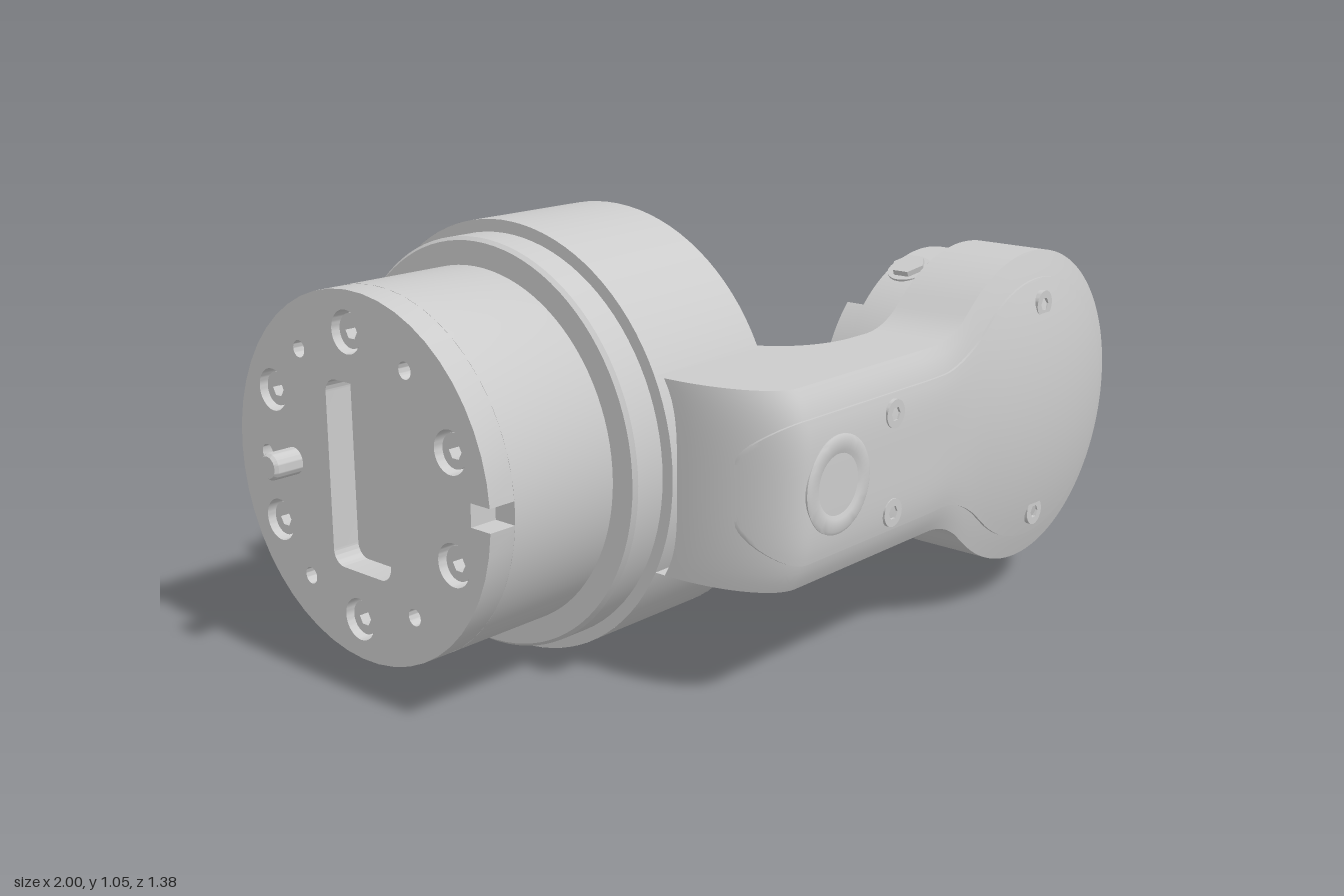
import * as THREE from 'three';
import { toCreasedNormals } from 'three/addons/utils/BufferGeometryUtils.js';
import { ParametricGeometry } from 'three/addons/geometries/ParametricGeometry.js';

const CY = 0.527, CZ = -0.16;   // main barrel axis (along x)
const HX = 0.6;                 // head disc centre (axis along z)

export function createModel() {
  const root = new THREE.Group();
  const mat = new THREE.MeshStandardMaterial({ color: 0xcccccc, side: THREE.DoubleSide });
  const add = (name, geo, x = 0, y = 0, z = 0, parent = root) => {
    const m = new THREE.Mesh(toCreasedNormals(geo, 0.6), mat);
    m.name = name;
    m.position.set(x, y, z);
    parent.add(m);
    return m;
  };
  const lathe = (pts, seg = 96) => new THREE.LatheGeometry(pts.map(p => new THREE.Vector2(p[0], p[1])), seg);
  // profiles are [radius, position along the axis]
  const latheX = pts => lathe(pts).rotateZ(-Math.PI / 2);
  const latheZ = (pts, seg) => lathe(pts, seg).rotateX(Math.PI / 2);
  const extrude = (shape, depth) =>
    new THREE.ExtrudeGeometry(shape, { depth, bevelEnabled: false, curveSegments: 24 });
  const circle = (x, y, r) => new THREE.Path().absarc(x, y, r, 0, Math.PI * 2, false);
  const hexPath = r => new THREE.Path([0, 1, 2, 3, 4, 5].map(i =>
    new THREE.Vector2(r * Math.cos(i * Math.PI / 3), r * Math.sin(i * Math.PI / 3))));
  // socket screw head facing +z
  const screwGeo = (r, depth) => {
    const s = new THREE.Shape().absarc(0, 0, r, 0, Math.PI * 2);
    s.holes.push(hexPath(r * 0.5));
    return extrude(s, depth);
  };

  // ---- barrel housing, outer wall with a rounded slot at the rear ----
  const R = 0.525, X0 = -0.465, X1 = -0.105, SX = -0.29, SW = 0.08, SA = 0.36;
  const sheet = (name, f, nu, nv) => add(name, new ParametricGeometry((u, v, t) => {
    const [x, a, r] = f(u, v);
    t.set(x, CY + r * Math.sin(a), CZ - r * Math.cos(a));
  }, nu, nv));
  const slotAngle = v => SA * Math.sin((v - 0.5) * Math.PI);
  const slotHalf = a => {
    const over = Math.max(0, Math.abs(a) * R - (SA * R - SW));
    return Math.sqrt(Math.max(0, SW * SW - over * over));
  };
  const mix = (a, b, t) => a + (b - a) * t;
  sheet('housingWall', (u, v) => [mix(X0, X1, u), mix(SA, Math.PI * 2 - SA, v), R], 1, 84);
  for (const s of [-1, 1]) {
    const edge = a => SX + s * slotHalf(a);
    sheet('housingWallBesideSlot', (u, v) => {
      const a = slotAngle(v);
      return [mix(s < 0 ? X0 : X1, edge(a), u), a, R];
    }, 1, 32);
    sheet('slotWall', (u, v) => [edge(slotAngle(v)), slotAngle(v), mix(R, 0.45, u)], 1, 32);
    // small plugs above and below the slot
    for (const a of [0.44, 0.58]) {
      const plug = add('housingPlug', new THREE.TorusGeometry(0.016, 0.004, 8, 20),
        SX, CY + s * R * Math.sin(a), CZ - R * Math.cos(a));
      plug.rotation.x = s * a;
    }
  }
  sheet('slotFloor', (u, v) => {
    const a = slotAngle(v);
    return [SX + (u * 2 - 1) * slotHalf(a), a, 0.45];
  }, 2, 32);
  add('housingDish', latheX([[R, X1], [0.41, X1], [0.3, -0.145], [0.2, -0.17], [0.11, -0.185], [0, -0.188]]), 0, CY, CZ);
  add('housingBack', latheX([[0.42, X0], [R, X0]]), 0, CY, CZ);
  add('collar', latheX([[0.42, -0.555], [0.487, -0.555], [0.495, -0.545], [0.495, X0]]), 0, CY, CZ);
  add('motorBody', latheX([[0, -0.855], [0.43, -0.855], [0.43, -0.56], [0.425, -0.55]]), 0, CY, CZ);

  // ---- motor end plate with pocket, screw holes and edge notch ----
  const plate = new THREE.Shape();
  const na = Math.asin(0.027 / 0.43);
  plate.absarc(0, 0, 0.43, na, Math.PI * 2 - na);
  plate.lineTo(0.37, -0.027).lineTo(0.37, 0.027);
  const pw = 0.1, ph = 0.22, pr = 0.035;
  const pocket = new THREE.Path();
  [[1, 1, 0], [-1, 1, 1], [-1, -1, 2], [1, -1, 3]].forEach(([sx, sy, q]) =>
    pocket.absarc(sx * (pw - pr), sy * (ph - pr), pr, q * Math.PI / 2, (q + 1) * Math.PI / 2));
  plate.holes.push(pocket);
  const polar = (deg, r) => [r * Math.cos(deg * Math.PI / 180), r * Math.sin(deg * Math.PI / 180)];
  const bolts = [22, -22, 93, -93, 152, -152].map(d => polar(d, 0.335));
  const pinHoles = [58, -58, 125, -125, 180].map(d => polar(d, 0.33));
  bolts.forEach(([z, y]) => plate.holes.push(circle(z, y, 0.05)));
  pinHoles.forEach(([z, y]) => plate.holes.push(circle(z, y, 0.02)));
  add('motorEndPlate', extrude(plate, 0.07).rotateY(-Math.PI / 2), -0.855, CY, CZ);
  bolts.forEach(([z, y]) =>
    add('motorScrew', screwGeo(0.04, 0.055).rotateY(-Math.PI / 2), -0.855, CY + y, CZ + z));
  add('locatingPin', latheX([[0, -1], [0.026, -1], [0.032, -0.992], [0.032, -0.85]]), 0, CY, CZ - 0.23);

  // ---- arm and head: cross-sections lofted along x ----
  const FX = 0.18, FY = 0.43;  // fillet centre between arm and disc
  const halfWidth = (x, inset) => {
    const rd = 0.4 - inset, rf = 0.2 + inset;
    const join = HX + (FX - HX) * rd / 0.6;
    if (x <= FX) return 0.23 - inset;
    if (x < join) return FY - Math.sqrt(rf * rf - (x - FX) ** 2);
    return Math.sqrt(Math.max(0, rd * rd - (x - HX) ** 2));
  };
  const edgeZ = x => {
    if (x > -0.34) return 0.615;
    const t = (-0.34 - x) / 0.125;
    return 0.34 + 0.275 * Math.sqrt(Math.max(0, 1 - t * t));
  };
  const frontZ = (x, y) => {
    const w = halfWidth(x, 0), t2 = w > 1e-6 ? Math.min(1, (y / w) ** 2) : 1;
    const k = THREE.MathUtils.smoothstep(x, 0.1, 0.4);
    const arm = 0.038 * (1 - t2 * t2), disc = 0.07 * (w * w / 0.16) * (1 - t2);
    return edgeZ(x) + mix(arm, disc, k);
  };
  const backZ = x => {
    if (x < -0.105) return 0.22;
    if (x > 0.12) return 0.415;
    const t = (0.12 - x) / 0.225;
    return 0.225 + 0.19 * Math.sqrt(Math.max(0, 1 - t * t));
  };
  const N = 20;
  // stations: rounded left end, straight arm, rounded disc end
  const stations = (left, right) => {
    const xs = [];
    for (let i = 0; i < 14; i++) xs.push(left + 0.125 * (1 - Math.cos(i / 14 * Math.PI / 2)));
    for (let i = 0; i < 50; i++) xs.push(mix(left + 0.125, HX, i / 50));
    for (let i = 0; i <= 28; i++) xs.push(HX + (right - HX) * Math.sin(i / 28 * Math.PI / 2));
    return xs;
  };
  const loft = (xs, section) => {
    const pos = [], idx = [];
    let n = 0;
    xs.forEach((x, i) => {
      const row = section(x);
      n = row.length;
      row.forEach(([y, z]) => pos.push(x, CY + y, z));
      for (let j = 0; i && j < n - 1; j++) {
        const a = (i - 1) * n + j, b = a + n;
        idx.push(a, b, a + 1, b, b + 1, a + 1);
      }
    });
    const g = new THREE.BufferGeometry();
    g.setAttribute('position', new THREE.Float32BufferAttribute(pos, 3));
    g.setIndex(idx);
    return g;
  };
  const across = (x, w, lift) => Array.from({ length: N + 1 }, (_, j) => {
    const y = w * (j / N * 2 - 1);
    return [y, frontZ(x, y) + lift];
  });
  add('armShell', loft(stations(X0, 1), x => {
    const w = halfWidth(x, 0);
    return [[-w, backZ(x)], ...across(x, w, 0), [w, backZ(x)]];
  }));
  const neckXs = Array.from({ length: 17 }, (_, i) => -0.105 + 0.225 * (1 - Math.cos(i / 16 * Math.PI / 2)));
  add('neckFillet', loft(neckXs, x => [[0.23, backZ(x)], [-0.23, backZ(x)]]));
  // raised cover with rounded left corners
  const CL = -0.445, CR = 0.1;
  add('frontCover', loft(stations(CL, HX + 0.335), x => {
    let w = halfWidth(x, 0.065);
    if (x < CL + CR) w += -CR + Math.sqrt(Math.max(0, CR * CR - (CL + CR - x) ** 2));
    return [[-w, frontZ(x, w) - 0.01], ...across(x, w, 0.006), [w, frontZ(x, w) - 0.01]];
  }));

  // back face of arm and disc, open in the middle
  const back = new THREE.Shape();
  const bx = Array.from({ length: 49 }, (_, i) => i < 25 ? mix(0.12, HX, i / 24) : HX + 0.4 * Math.sin((i - 24) / 24 * Math.PI / 2));
  back.setFromPoints([...bx.map(x => new THREE.Vector2(x, -halfWidth(x, 0))),
    ...bx.slice(0, -1).reverse().map(x => new THREE.Vector2(x, halfWidth(x, 0)))]);
  back.holes.push(circle(HX, 0, 0.33));
  add('armBackFace', new THREE.ShapeGeometry(back, 48), 0, CY, 0.415);

  // ---- button and cover screws ----
  add('button', latheZ([[0.115, 0.63], [0.115, 0.66], [0.108, 0.664], [0.08, 0.664], [0.07, 0.658], [0, 0.658]], 48), -0.245, CY, 0);
  for (const s of [-1, 1]) for (const [x, y] of [[-0.035, 0.118], [0.595, 0.272]])
    add('coverScrew', screwGeo(0.034, 0.03), x, CY + s * y, frontZ(x, y) - 0.019);

  // ---- coupling ring, open at the back ----
  const head = new THREE.Group();
  head.name = 'couplingRing';
  head.position.set(HX, CY, 0);
  root.add(head);
  add('ringWall', latheZ([[0.37, 0.415], [0.37, 0.295], [0.365, 0.29], [0.335, 0.29], [0.335, 0.45],
    [0.28, 0.45], [0.28, 0.59], [0, 0.6]]), 0, 0, 0, head);
  const tab = new THREE.Shape();
  tab.absarc(0, 0, 0.37, Math.PI - 0.78, Math.PI + 0.78, false);
  tab.absarc(0, 0, 0.34, Math.PI + 0.78, Math.PI - 0.78, true);
  add('ringTab', extrude(tab, 0.05), 0, 0, 0.245, head);
  for (let i = 0; i < 8; i++) {
    const station = new THREE.Group();
    station.name = 'ringBolt';
    station.rotation.z = (i + 0.5) * Math.PI / 4;
    head.add(station);
    add('boltSeat', new THREE.CylinderGeometry(0.056, 0.056, 0.05, 32).rotateZ(Math.PI / 2), 0.346, 0, 0.347, station);
    add('hexHead', new THREE.CylinderGeometry(0.044, 0.044, 0.08, 6).rotateZ(Math.PI / 2), 0.345, 0, 0.347, station);
  }
  // inner screw bosses and cable connector
  for (let i = 0; i < 4; i++) {
    const [x, y] = polar(45 + i * 90, 0.265);
    add('innerBoss', screwGeo(0.04, 0.16).rotateY(Math.PI), x, y, 0.6, head);
  }
  add('cableConnector', new THREE.CylinderGeometry(0.045, 0.045, 0.16, 24).rotateZ(Math.PI / 2), 0.2, 0, 0.47, head);
  return root;
}
